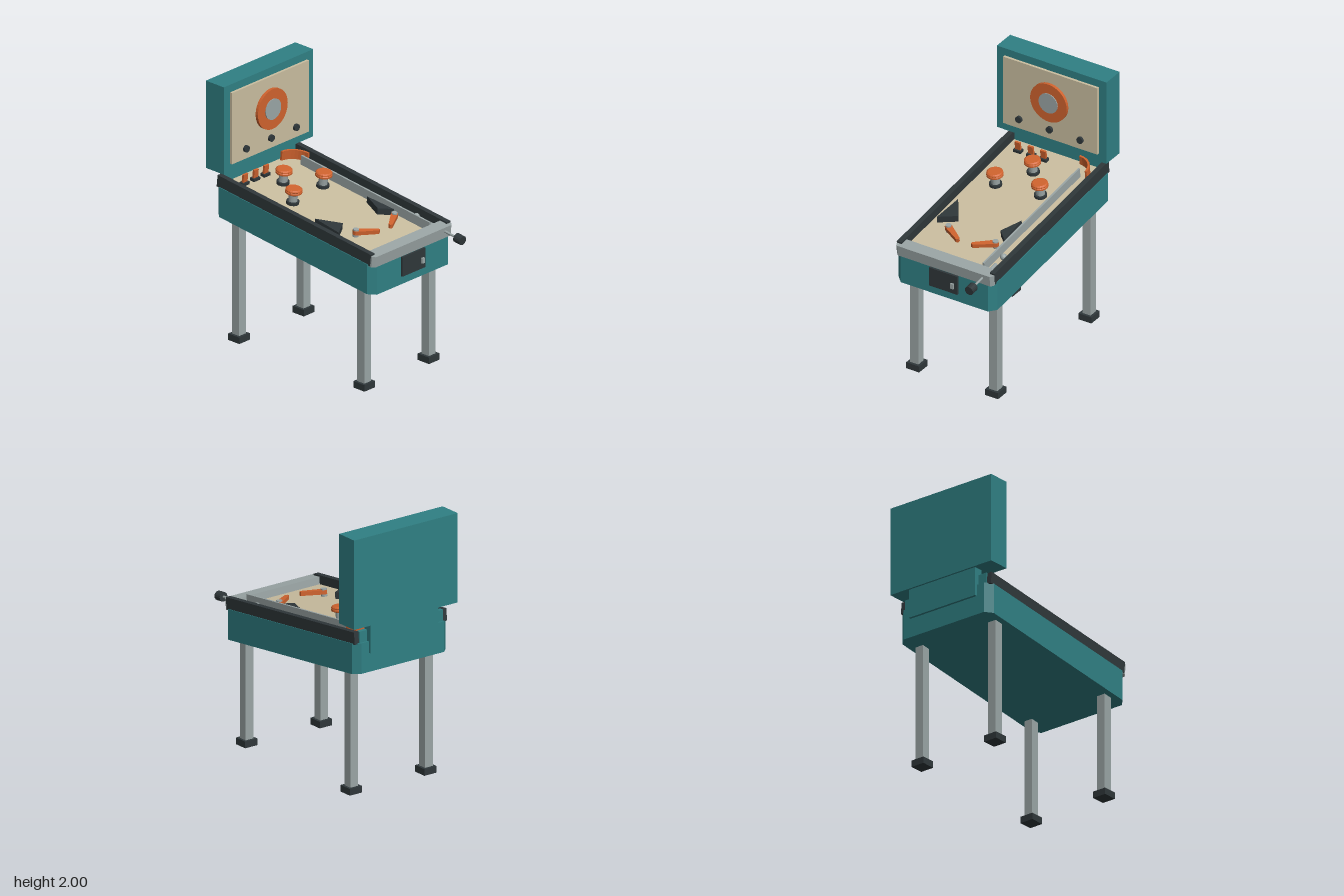
import * as THREE from 'three';

const mat = (color) => new THREE.MeshStandardMaterial({ color, flatShading: true });
const TEAL = mat(0x308084), TAN = mat(0xcabea0), ORANGE = mat(0xd0632e);
const DARK = mat(0x2f373a), STEEL = mat(0x9aa5a5);
const SLOPE = 0.113;

function add(parent, name, geometry, material, x = 0, y = 0, z = 0) {
  const mesh = new THREE.Mesh(geometry, material);
  mesh.name = name;
  mesh.position.set(x, y, z);
  parent.add(mesh);
  return mesh;
}

// Box given by its limits on each axis
function box(parent, name, material, [x0, x1], [y0, y1], [z0, z1]) {
  return add(parent, name, new THREE.BoxGeometry(x1 - x0, y1 - y0, z1 - z0), material,
    (x0 + x1) / 2, (y0 + y1) / 2, (z0 + z1) / 2);
}

// Upright prism from [x, z] outline points, standing on y = 0
function prism(points, height) {
  const shape = new THREE.Shape(points.map(([x, z]) => new THREE.Vector2(x, -z)));
  return new THREE.ExtrudeGeometry(shape, { depth: height, bevelEnabled: false, curveSegments: 8 })
    .rotateX(-Math.PI / 2);
}

// Rectangle outline with cut corners
const cutRect = (w, z0, z1, c) => [
  [-w + c, z1], [w - c, z1], [w, z1 - c], [w, z0 + c],
  [w - c, z0], [-w + c, z0], [-w, z0 + c], [-w, z1 - c],
];

// Cylinder lying along z
const rod = (r, length, sides = 16) =>
  new THREE.CylinderGeometry(r, r, length, sides).rotateX(Math.PI / 2);

function buildCabinet(root) {
  // Body with cut corners, sheared so that it rises towards the back
  const body = prism(cutRect(0.42, -0.85, 0.7, 0.05), 0.232);
  const p = body.attributes.position;
  for (let i = 0; i < p.count; i++) p.setY(i, p.getY(i) + 0.78 + SLOPE * (0.7 - p.getZ(i)));
  body.computeVertexNormals();
  add(root, 'cabinet', body, TEAL);
  box(root, 'backWall', TEAL, [-0.376, 0.376], [1.15, 1.27], [-0.83, -0.8]);

  // Coin door and latch
  box(root, 'coinDoor', DARK, [-0.12, 0.12], [0.845, 0.995], [0.69, 0.717]);
  box(root, 'coinDoorLatch', STEEL, [0.07, 0.095], [0.89, 0.93], [0.71, 0.733]);

  // Legs and feet
  for (const x of [-0.335, 0.335]) {
    for (const [z, top] of [[0.543, 0.83], [-0.683, 0.97]]) {
      box(root, 'leg', STEEL, [x - 0.035, x + 0.035], [0.04, top], [z - 0.035, z + 0.035]);
      box(root, 'foot', DARK, [x - 0.055, x + 0.055], [0, 0.05], [z - 0.055, z + 0.055]);
    }
  }
}

function buildBackbox(root) {
  box(root, 'neck', TEAL, [-0.305, 0.305], [1.1, 1.33], [-0.87, -0.8]);
  box(root, 'backbox', TEAL, [-0.465, 0.465], [1.32, 2], [-0.885, -0.71]);
  box(root, 'displayPanel', TAN, [-0.4, 0.4], [1.385, 1.94], [-0.72, -0.69]);

  // Round emblem: ring and centre disc
  const ring = new THREE.Shape().absarc(0, 0, 0.155, 0, Math.PI * 2);
  ring.holes.push(new THREE.Path().absarc(0, 0, 0.078, 0, Math.PI * 2, true));
  add(root, 'displayRing', new THREE.ExtrudeGeometry(ring,
    { depth: 0.025, bevelEnabled: false, curveSegments: 20 }), ORANGE, 0, 1.695, -0.692);
  add(root, 'displayDisc', rod(0.08, 0.032, 20), STEEL, 0, 1.695, -0.676);
  for (const x of [-0.26, 0, 0.26])
    add(root, 'displayButton', rod(0.026, 0.025), DARK, x, 1.465, -0.683);
}

function buildBumper(table, x, z) {
  const bumper = new THREE.Group();
  bumper.name = 'bumper';
  bumper.position.set(x, 0, z);
  add(bumper, 'bumperBase', new THREE.CylinderGeometry(0.047, 0.047, 0.022, 20), DARK, 0, 0.011);
  add(bumper, 'bumperStem', new THREE.CylinderGeometry(0.033, 0.033, 0.07, 20), STEEL, 0, 0.055);
  const cap = [[0, 0.083], [0.052, 0.083], [0.062, 0.09], [0.062, 0.102],
    [0.058, 0.106], [0.062, 0.11], [0.06, 0.118], [0.05, 0.125], [0, 0.125]];
  add(bumper, 'bumperCap', new THREE.LatheGeometry(
    cap.map(([r, y]) => new THREE.Vector2(r, y)), 20), ORANGE);
  table.add(bumper);
}

// Tapered bat turning on a steel post
function buildFlipper(table, side) {
  const flipper = new THREE.Group();
  flipper.name = side > 0 ? 'leftFlipper' : 'rightFlipper';
  flipper.position.set(0.2 * side, 0, 0.333);
  const bat = prism([[-0.022, -0.012], [-0.01, -0.025], [0.01, -0.025], [0.165, -0.015],
    [0.176, 0], [0.165, 0.015], [0.01, 0.025], [-0.01, 0.025], [-0.022, 0.012]], 0.03);
  const blade = add(flipper, 'flipperBat', bat, ORANGE, 0, 0.018);
  blade.rotation.y = side > 0 ? Math.PI + 0.59 : -0.59;
  add(flipper, 'flipperPost', new THREE.CylinderGeometry(0.022, 0.022, 0.058, 14), STEEL, 0, 0.029);
  table.add(flipper);
}

function buildTable(root) {
  // Everything here lies on the tilted deck, whose surface is local y = 0
  const table = new THREE.Group();
  table.name = 'table';
  table.position.y = 1.109;
  table.rotation.x = SLOPE;
  root.add(table);

  box(table, 'playfield', TAN, [-0.378, 0.378], [-0.03, 0], [-0.81, 0.64]);
  for (const s of [-1, 1])
    box(table, 'sideRail', DARK, [s * 0.395 - 0.02, s * 0.395 + 0.02], [-0.025, 0.067], [-0.83, 0.68]);
  add(table, 'lockBar', prism(cutRect(0.412, 0.615, 0.712, 0.02), 0.085), STEEL, 0, -0.03);
  box(table, 'laneGuide', STEEL, [0.268, 0.283], [0, 0.072], [-0.655, 0.61]);

  for (const [x, z] of [[-0.2, -0.287], [0.155, -0.327], [-0.04, -0.535]]) buildBumper(table, x, z);
  for (const side of [-1, 1]) buildFlipper(table, side);

  // Triangular kickers
  const kickers = [[[-0.31, 0.035], [-0.33, 0.285], [-0.202, 0.205]],
    [[0.23, 0.035], [0.16, 0.205], [0.244, 0.285]]];
  for (const points of kickers) add(table, 'kicker', prism(points, 0.05), DARK);

  // Standing targets at the back
  for (const x of [-0.27, -0.16, -0.053]) {
    box(table, 'targetBase', DARK, [x - 0.032, x + 0.032], [0, 0.022], [-0.715, -0.675]);
    box(table, 'target', ORANGE, [x - 0.022, x + 0.022], [0.01, 0.085], [-0.705, -0.688]);
  }

  // Curved deflector in the back corner
  const arc = [];
  for (const r of [0.146, 0.13]) {
    for (let i = 0; i <= 8; i++) {
      const a = ((r > 0.14 ? i : 8 - i) / 8) * Math.PI / 2;
      arc.push([0.2 + r * Math.cos(a), -0.645 - r * Math.sin(a)]);
    }
  }
  add(table, 'cornerDeflector', prism(arc, 0.073), ORANGE);

  // Ball and plunger in the shooter lane
  add(table, 'ball', new THREE.SphereGeometry(0.025, 16, 12), STEEL, 0.328, 0.025, 0.43);
  add(table, 'plungerRod', rod(0.009, 0.3, 12), STEEL, 0.328, 0.024, 0.69);
  add(table, 'plungerTip', rod(0.013, 0.09, 12), STEEL, 0.328, 0.024, 0.575);
  add(table, 'plungerKnob', rod(0.035, 0.062, 16), DARK, 0.328, 0.024, 0.856);
}

export function createModel() {
  const root = new THREE.Group();
  root.name = 'pinballTable';
  buildCabinet(root);
  buildBackbox(root);
  buildTable(root);
  return root;
}
